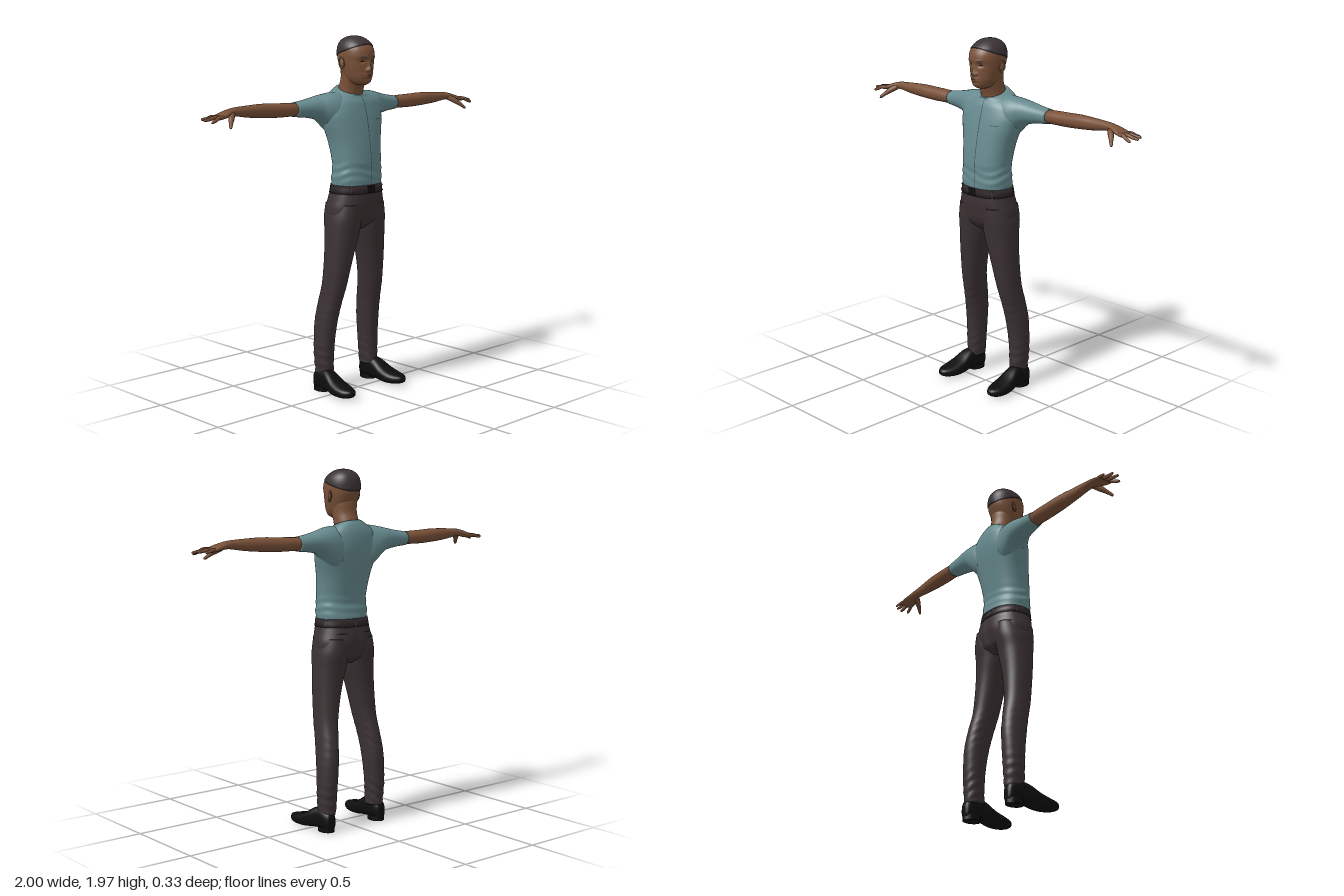
import * as THREE from 'three';

const mat = (name, color) => Object.assign(new THREE.MeshStandardMaterial({ color }), { name });
const V = (x, y, z) => new THREE.Vector3(x, y, z);
const TAU = Math.PI * 2;

// Catmull-Rom blend of equal-length number rows at t in 0..1
function blend(rows, t) {
  const n = rows.length - 1, s = Math.min(Math.max(t, 0), 1) * n;
  const i = Math.min(Math.floor(s), n - 1), f = s - i;
  const [p, q, r, w] = [rows[Math.max(i - 1, 0)], rows[i], rows[i + 1], rows[Math.min(i + 2, n)]];
  return q.map((_, k) => q[k] + 0.5 * f * (r[k] - p[k] + f * (2 * p[k] - 5 * q[k] + 4 * r[k] - w[k]
    + f * (3 * (q[k] - r[k]) + w[k] - p[k]))));
}

// Parameter t at which the first column reaches s
function findT(rows, s) {
  let lo = 0, hi = 1;
  for (let i = 0; i < 24; i++) {
    const m = (lo + hi) / 2;
    if (blend(rows, m)[0] < s) lo = m; else hi = m;
  }
  return lo;
}

// Surface through superellipse sections [s, aMin, aMax, bMin, bMax] along an axis
function loft(rows, axis, n = 2.2, adjust) {
  const pw = (c) => Math.sign(c) * Math.abs(c) ** (2 / n);
  return (u, t) => {
    const [s, a0, a1, b0, b1] = blend(rows, t);
    const a = (a0 + a1) / 2 + (a1 - a0) / 2 * pw(Math.sin(u * TAU));
    const b = (b0 + b1) / 2 + (b1 - b0) / 2 * pw(Math.cos(u * TAU));
    const p = axis === 'y' ? V(a, s, b) : axis === 'x' ? V(s, b, a) : V(b, a, s);
    if (adjust) adjust(p, u, t);
    return p;
  };
}

// Round tapered surface along a path of [x, y, z, radius]
function limb(rows) {
  return (u, t) => {
    const [x, y, z, r] = blend(rows, t);
    const d = V(...blend(rows, t + 0.01)).sub(V(...blend(rows, t - 0.01))).normalize();
    const e = V(0, 1, 0).cross(d).normalize(), g = d.clone().cross(e);
    return V(x, y, z).addScaledVector(e, r * Math.cos(u * TAU)).addScaledVector(g, r * Math.sin(u * TAU));
  };
}

// Mesh geometry from a surface function; closed wraps u and caps both ends
function sheet(f, nu, nv, closed = true) {
  const rows = [], cols = closed ? nu : nu + 1, pos = [], idx = [];
  for (let j = 0; j <= nv; j++) rows.push(Array.from({ length: cols }, (_, i) => f(i / nu, j / nv)));
  if (closed) {
    const mid = (r) => r.map(() => r.reduce((s, p) => s.add(p), V(0, 0, 0)).divideScalar(cols));
    const ends = [mid(rows[0]), mid(rows[nv])].map((r) => r.map((_, i) => (i ? r[0] : r[0]).clone()));
    rows.unshift(ends[0]);
    rows.push(ends[1]);
  }
  rows.flat().forEach((p) => pos.push(p.x, p.y, p.z));
  for (let j = 0; j < rows.length - 1; j++) for (let i = 0; i < nu; i++) {
    const k = closed ? (i + 1) % nu : i + 1;
    const a = j * cols + i, b = j * cols + k, c = b + cols, d = a + cols;
    idx.push(a, b, c, a, c, d);
  }
  const g = new THREE.BufferGeometry();
  g.setAttribute('position', new THREE.Float32BufferAttribute(pos, 3));
  g.setIndex(idx);
  g.computeVertexNormals();
  return g;
}

// Thin patch lying just off a surface, optionally tapered to points at both ends
function patch(f, rows, u0, u1, y0, y1, nu, nv, lens = false, lift = 0.0015) {
  return sheet((a, b) => {
    const u = u0 + (u1 - u0) * a, k = lens ? Math.sin(Math.PI * (0.04 + 0.92 * a)) : 1;
    const t = findT(rows, (y0 + y1) / 2 + (y1 - y0) * (b - 0.5) * k);
    const p = f(u, t), e = 0.002;
    const normal = f(u + e, t).sub(f(u - e, t)).cross(f(u, t + e).sub(f(u, t - e))).normalize();
    return p.addScaledVector(normal, lift);
  }, nu, nv, false);
}

function mirrored(g) {
  const m = g.clone().applyMatrix4(new THREE.Matrix4().makeScale(-1, 1, 1)), ix = m.index;
  for (let i = 0; i < ix.count; i += 3) {
    const b = ix.getX(i + 1);
    ix.setX(i + 1, ix.getX(i + 2));
    ix.setX(i + 2, b);
  }
  return m;
}

export function createModel() {
  const root = new THREE.Group();
  const skin = mat('skin', 0x7a5138), lip = mat('lips', 0x633c30), hair = mat('hair', 0x3b3335);
  const shirt = mat('shirt', 0x668a8e), seam = mat('shirt seam', 0x3c5558), cloth = mat('trousers', 0x3b3133);
  const leather = mat('belt', 0x2e2628), black = mat('black', 0x0e0e10);
  const add = (name, g, m) => {
    const mesh = new THREE.Mesh(g, m);
    mesh.name = name;
    root.add(mesh);
  };
  const pair = (name, g, m) => { add('left ' + name, g, m); add('right ' + name, mirrored(g), m); };
  const bump = (x, y, cx, cy, sx, sy) => Math.exp(-(((x - cx) / sx) ** 2) - ((y - cy) / sy) ** 2);

  // Head with modelled nose, eye sockets, lips and chin
  const headRows = [
    [1.708, -0.028, 0.028, -0.02, 0.055], [1.722, -0.052, 0.052, -0.06, 0.074], [1.75, -0.07, 0.07, -0.085, 0.081],
    [1.78, -0.079, 0.079, -0.095, 0.082], [1.81, -0.086, 0.086, -0.108, 0.083], [1.84, -0.09, 0.09, -0.12, 0.086],
    [1.868, -0.092, 0.092, -0.124, 0.09], [1.9, -0.09, 0.09, -0.123, 0.083], [1.928, -0.08, 0.08, -0.114, 0.064],
    [1.95, -0.06, 0.06, -0.095, 0.036], [1.963, -0.035, 0.035, -0.068, 0.008], [1.968, -0.008, 0.008, -0.04, -0.022],
  ];
  const head = loft(headRows, 'y', 2.15, (p) => {
    if (p.z < 0.02) return;
    const { x, y } = p, ax = Math.abs(x);
    p.z += 0.017 * bump(x, y, 0, 1.792, 0.013, 0.016) + 0.009 * bump(x, y, 0, 1.818, 0.01, 0.025)
      + 0.008 * bump(ax, y, 0.015, 1.788, 0.008, 0.009) - 0.009 * bump(ax, y, 0.035, 1.836, 0.018, 0.012)
      + 0.009 * bump(x, y, 0, 1.759, 0.026, 0.013) - 0.004 * bump(x, y, 0, 1.759, 0.03, 0.0025)
      + 0.004 * bump(x, y, 0, 1.727, 0.02, 0.01) + 0.003 * bump(ax, y, 0.03, 1.857, 0.02, 0.008);
  });
  add('head', sheet(head, 112, 110), skin);
  add('upper lip', patch(head, headRows, -0.045, 0.045, 1.7605, 1.77, 16, 4, true), lip);
  add('lower lip', patch(head, headRows, -0.042, 0.042, 1.748, 1.758, 16, 4, true), lip);
  pair('eye', patch(head, headRows, 0.039, 0.088, 1.832, 1.84, 12, 3, true), black);
  pair('eyebrow', patch(head, headRows, 0.03, 0.1, 1.856, 1.862, 12, 2, true), hair);

  // Close-cropped hair, sloping from forehead to nape
  add('hair', sheet((u, v) => {
    const line = 1.888 + 0.035 * Math.cos(u * TAU), t0 = findT(headRows, line);
    const p = head(u, t0 + (1 - t0) * v), c = V(0, 1.86, -0.02);
    return p.add(p.clone().sub(c).normalize().multiplyScalar(0.003));
  }, 64, 24), hair);

  // Ears: flattened bowl with a raised rim
  const ear = new THREE.SphereGeometry(1, 16, 12).scale(0.007, 0.027, 0.016).rotateY(-0.35).rotateX(-0.15);
  const rim = new THREE.TorusGeometry(0.02, 0.0042, 8, 24).rotateY(Math.PI / 2).scale(1, 1.3, 0.8)
    .rotateY(-0.35).rotateX(-0.15);
  pair('ear', ear.translate(0.091, 1.826, -0.03), skin);
  pair('ear rim', rim.translate(0.094, 1.826, -0.031), skin);

  add('neck', sheet(loft([
    [1.6, -0.08, 0.08, -0.13, 0.0], [1.66, -0.07, 0.07, -0.132, 0.008], [1.7, -0.067, 0.067, -0.122, 0.02],
    [1.74, -0.068, 0.068, -0.108, 0.035], [1.79, -0.07, 0.07, -0.105, 0.03], [1.83, -0.06, 0.06, -0.1, 0.0],
  ], 'y', 2), 40, 20), skin);

  // Shirt body with soft folds above the belt and a collar that rises at the back
  const torsoRows = [
    [1.158, -0.147, 0.147, -0.125, 0.094], [1.2, -0.151, 0.151, -0.121, 0.095], [1.25, -0.148, 0.148, -0.115, 0.092],
    [1.3, -0.147, 0.147, -0.12, 0.093], [1.4, -0.16, 0.16, -0.14, 0.081], [1.5, -0.188, 0.188, -0.16, 0.063],
    [1.56, -0.195, 0.195, -0.167, 0.049], [1.62, -0.165, 0.165, -0.165, 0.032], [1.655, -0.12, 0.12, -0.152, 0.018],
    [1.676, -0.078, 0.078, -0.136, 0.014],
  ];
  const torso = loft(torsoRows, 'y', 2.35, (p, u, t) => {
    const y = p.y, k = 0.017 * Math.exp(-(((y - 1.235) / 0.05) ** 2));
    const s = 1 + k * Math.sin(y * 125 + 2.2 * Math.sin(u * TAU * 2) + Math.sin(u * TAU * 3));
    p.x *= s;
    p.z = (p.z + 0.015) * s - 0.015;
    if (t > 0.75) p.y -= (p.z + 0.06) * 0.33 * (t - 0.75) / 0.25;
  });
  add('shirt body', sheet(torso, 72, 80), shirt);
  add('shirt front seam', patch(torso, torsoRows, 0.005, 0.0085, 1.165, 1.672, 1, 70), seam);
  add('shirt pocket edge', patch(torso, torsoRows, 0.064, 0.115, 1.514, 1.518, 10, 1), seam);

  // Short sleeves flowing out of the shoulders
  pair('sleeve', sheet(loft([
    [0.04, -0.13, 0.0, 1.48, 1.655], [0.1, -0.157, 0.018, 1.43, 1.668], [0.15, -0.164, 0.012, 1.455, 1.666],
    [0.19, -0.164, -0.005, 1.497, 1.659], [0.23, -0.161, -0.027, 1.524, 1.65], [0.3, -0.155, -0.045, 1.539, 1.635],
    [0.375, -0.151, -0.058, 1.546, 1.624],
  ], 'x', 2.15), 48, 36), shirt);

  // Bare arms down to the flat of the hand
  pair('arm', sheet(loft([
    [0.35, -0.146, -0.063, 1.551, 1.62], [0.43, -0.147, -0.06, 1.551, 1.624], [0.5, -0.145, -0.06, 1.551, 1.626],
    [0.6, -0.137, -0.06, 1.556, 1.63], [0.7, -0.124, -0.064, 1.565, 1.627], [0.79, -0.116, -0.064, 1.578, 1.622],
    [0.83, -0.119, -0.056, 1.576, 1.615], [0.87, -0.126, -0.042, 1.569, 1.603], [0.905, -0.126, -0.038, 1.565, 1.589],
    [0.92, -0.118, -0.045, 1.568, 1.583],
  ], 'x', 2.1), 36, 54), skin);
  // Fingers as [base z, tip x, tip z, tip y], index to little
  [[-0.05, 0.975, -0.034, 1.558], [-0.07, 1.0, -0.067, 1.568], [-0.092, 0.992, -0.098, 1.572],
    [-0.114, 0.96, -0.13, 1.568]].forEach(([z, tx, tz, ty], i) => {
    const b = i === 3 ? 0.0085 : 0.01, at = (k, y, r) => [0.89 + (tx - 0.89) * k, y, z + (tz - z) * k, r];
    pair('finger ' + (i + 1), sheet(limb([at(0, 1.581, b), at(0.35, 1.581, b), at(0.65, (1.58 + ty) / 2, b * 0.9),
      at(0.93, ty + 0.002, b * 0.7), at(1, ty, b * 0.25)]), 12, 20), skin);
  });
  pair('thumb', sheet(limb([[0.815, 1.592, -0.075, 0.015], [0.842, 1.572, -0.046, 0.016],
    [0.863, 1.552, -0.023, 0.011], [0.88, 1.533, -0.004, 0.008], [0.885, 1.526, 0.002, 0.002]]), 14, 20), skin);

  // Trouser seat
  const seatRows = [
    [0.915, -0.08, 0.08, -0.085, 0.025], [0.95, -0.155, 0.155, -0.128, 0.066], [0.99, -0.174, 0.174, -0.142, 0.086],
    [1.04, -0.175, 0.175, -0.149, 0.094], [1.09, -0.163, 0.163, -0.142, 0.099], [1.16, -0.146, 0.146, -0.126, 0.096],
  ];
  const seat = loft(seatRows, 'y', 2.35, (p) => {
    if (p.z < -0.06) p.z += 0.012 * bump(p.x, p.y, 0, 1.0, 0.022, 0.06);
  });
  add('trouser seat', sheet(seat, 72, 30), cloth);
  pair('back pocket', patch(seat, seatRows, 0.385, 0.45, 1.084, 1.09, 10, 1), black);

  // Trouser legs, creased towards the hem
  pair('trouser leg', sheet(loft([
    [0.095, 0.128, 0.213, -0.15, -0.038], [0.2, 0.121, 0.222, -0.156, -0.04], [0.3, 0.114, 0.221, -0.16, -0.034],
    [0.4, 0.107, 0.215, -0.16, -0.019], [0.5, 0.097, 0.205, -0.145, 0.003], [0.6, 0.08, 0.198, -0.123, 0.027],
    [0.7, 0.06, 0.194, -0.116, 0.043], [0.8, 0.036, 0.191, -0.116, 0.057], [0.9, 0.008, 0.187, -0.124, 0.07],
    [0.98, 0.002, 0.181, -0.139, 0.082], [1.06, 0.015, 0.163, -0.138, 0.085],
  ], 'y', 2.2, (p, u) => {
    const k = 0.035 * Math.exp(-(((p.y - 0.17) / 0.085) ** 2)) + 0.01 * Math.exp(-(((p.y - 0.48) / 0.1) ** 2));
    const s = 1 + k * Math.sin(p.y * 120 + 2 * Math.sin(u * TAU) + 1.5 * Math.cos(u * TAU * 2));
    p.x = 0.17 + (p.x - 0.17) * s;
    p.z = -0.09 + (p.z + 0.09) * s;
  }), 48, 110), cloth);

  // Belt and buckle
  const beltRows = [[1.12, -0.157, 0.157, -0.138, 0.102], [1.165, -0.15, 0.15, -0.131, 0.1]];
  const belt = loft(beltRows, 'y', 2.35);
  add('belt', sheet(belt, 72, 2), leather);
  add('buckle', patch(belt, beltRows, -0.021, 0.021, 1.122, 1.162, 10, 2, false, 0.004), black);
  [0.13, 0.3, 0.5, 0.7, 0.87].forEach((u, i) =>
    add('belt loop ' + (i + 1), patch(belt, beltRows, u - 0.006, u + 0.006, 1.121, 1.164, 2, 2, false, 0.003), cloth));

  // Shoes with a raised heel
  pair('shoe', sheet(loft([
    [-0.156, 0.025, 0.075, 0.165, 0.195], [-0.145, 0.01, 0.105, 0.15, 0.21], [-0.11, 0.008, 0.125, 0.142, 0.22],
    [-0.06, 0.012, 0.13, 0.139, 0.225], [-0.02, 0.01, 0.118, 0.137, 0.235], [0.03, 0.003, 0.088, 0.134, 0.247],
    [0.08, 0.002, 0.07, 0.136, 0.251], [0.125, 0.006, 0.06, 0.149, 0.245], [0.155, 0.014, 0.053, 0.169, 0.227],
    [0.167, 0.026, 0.042, 0.186, 0.21],
  ], 'z', 2.6), 40, 50), black);
  pair('shoe heel', new THREE.CylinderGeometry(1, 1, 0.03, 32).scale(0.041, 1, 0.052).translate(0.181, 0.015, -0.103), black);

  return root;
}
